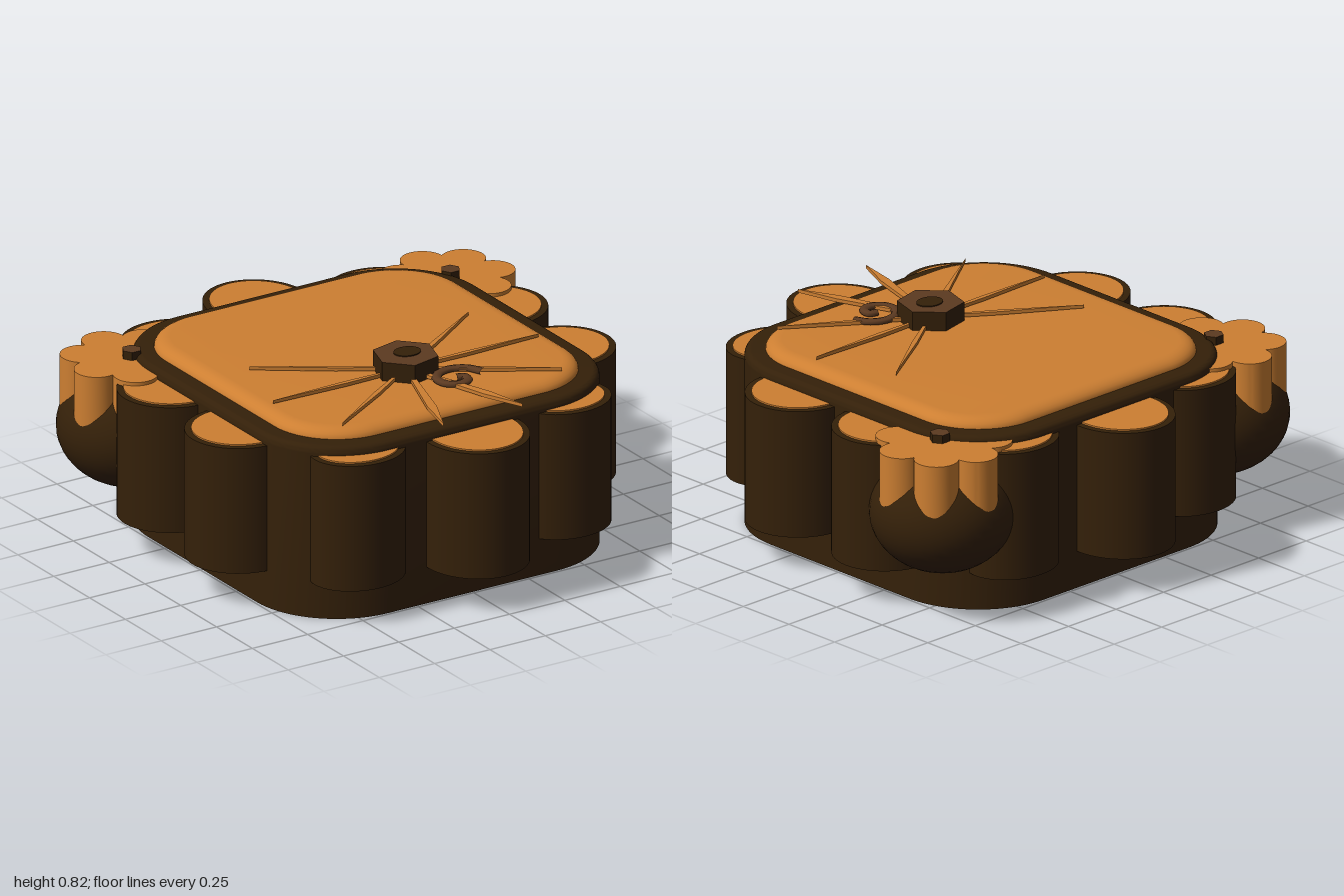
import * as THREE from 'three';
import { toCreasedNormals } from 'three/addons/utils/BufferGeometryUtils.js';

const orange = new THREE.MeshStandardMaterial({ name: 'bronze orange', color: 0xcd7f32 });
const dark = new THREE.MeshStandardMaterial({ name: 'dark brown', color: 0x342009 });
const brown = new THREE.MeshStandardMaterial({ name: 'mid brown', color: 0x5c3a21 });

function addMesh(parent, name, geometry, material, x = 0, y = 0, z = 0) {
  const mesh = new THREE.Mesh(geometry, material);
  mesh.name = name;
  mesh.position.set(x, y, z);
  parent.add(mesh);
  return mesh;
}

// Rounded square lying flat, half width h, rising from y0 to y1 with a rounded upper edge
function roundedSlab(h, r, y0, y1, bevel, bevelHeight) {
  const q = r - bevel, c = h - r;
  const s = new THREE.Shape();
  s.absarc(c, c, q, 0, Math.PI / 2);
  s.absarc(-c, c, q, Math.PI / 2, Math.PI);
  s.absarc(-c, -c, q, Math.PI, Math.PI * 1.5);
  s.absarc(c, -c, q, Math.PI * 1.5, Math.PI * 2);
  s.closePath();
  const g = new THREE.ExtrudeGeometry(s, {
    depth: y1 - y0 - 2 * bevelHeight, bevelThickness: bevelHeight, bevelSize: bevel, bevelSegments: 6, curveSegments: 16,
  });
  g.rotateX(-Math.PI / 2);
  g.translate(0, y0 + bevelHeight, 0);
  // Flatten the lower bevel so the wall drops straight to the floor
  const p = g.attributes.position;
  for (let i = 0; i < p.count; i++) {
    if (p.getY(i) < y0 + bevelHeight + 1e-4) p.setY(i, y0);
  }
  return toCreasedNormals(g, 0.7);
}

// Seven-lobed flower outline, extruded upwards
function flowerGeometry(height) {
  const s = new THREE.Shape();
  const ring = 0.18, lobe = 0.086, n = 7;
  const span = Math.PI / 2 + Math.PI / n;
  for (let i = 0; i < n; i++) {
    const a = Math.PI / 2 + (i * 2 * Math.PI) / n;
    s.absarc(ring * Math.cos(a), ring * Math.sin(a), lobe, a - span, a + span);
  }
  s.closePath();
  const g = new THREE.ExtrudeGeometry(s, { depth: height, bevelEnabled: false, curveSegments: 16 });
  g.rotateX(-Math.PI / 2);
  return toCreasedNormals(g, 0.6);
}

// Hexagonal block with flat sides
function hexGeometry(radius, height, turn) {
  const g = new THREE.CylinderGeometry(radius, radius, height, 6).toNonIndexed();
  g.computeVertexNormals();
  return g.rotateY(turn);
}

// Flat pointed blade along +x, widest at the fraction peak of its length
function bladeGeometry(length, halfWidth, peak) {
  const s = new THREE.Shape();
  s.moveTo(0, -halfWidth * 0.4);
  s.lineTo(length * peak, -halfWidth);
  s.lineTo(length, 0);
  s.lineTo(length * peak, halfWidth);
  s.lineTo(0, halfWidth * 0.4);
  s.closePath();
  return new THREE.ExtrudeGeometry(s, { depth: 0.014, bevelEnabled: false }).rotateX(-Math.PI / 2);
}

export function createModel() {
  const model = new THREE.Group();
  model.name = 'scallopedCushion';

  // Main body and its softly domed top
  addMesh(model, 'body', roundedSlab(0.74, 0.36, 0, 0.705, 0.025, 0.03), dark);
  addMesh(model, 'topPanel', roundedSlab(0.66, 0.28, 0.6, 0.743, 0.06, 0.04), orange);

  // Oval scallops about the body: x, z, half width, half depth
  const scallops = [[0, 0.752, 0.207, 0.228], [0, -0.752, 0.207, 0.228]];
  for (const sx of [-1, 1]) {
    for (const sz of [-1, 1]) {
      scallops.push([sx * 0.72, sz * 0.237, 0.218, 0.207], [sx * 0.465, sz * 0.655, 0.192, 0.163]);
    }
  }
  const rim = 0.026;
  for (const [x, z, rx, rz] of scallops) {
    const wall = new THREE.CylinderGeometry(1, 1, 0.515, 48);
    addMesh(model, 'scallop', wall.scale(rx, 1, rz), dark, x, 0.4075, z);
    const disc = new THREE.CylinderGeometry(1, 1, 0.008, 48);
    addMesh(model, 'scallopTop', disc.scale(rx - rim, 1, rz - rim), orange, x, 0.667, z);
  }

  // Back corner buds: round cup, flower and small hexagonal stud
  for (const side of [-1, 1]) {
    const bud = new THREE.Group();
    bud.name = side > 0 ? 'leftBud' : 'rightBud';
    bud.position.set(side * 0.72, 0, -0.54);
    model.add(bud);
    addMesh(bud, 'cup', new THREE.SphereGeometry(0.28, 40, 24), dark, 0, 0.405, 0).scale.y = 0.235 / 0.28;
    addMesh(bud, 'flower', flowerGeometry(0.265), orange, 0, 0.42, 0);
    addMesh(bud, 'stud', hexGeometry(0.039, 0.037, Math.PI / 2), [dark, brown, dark], 0, 0.6995, 0.015);
  }

  // Hexagonal knob with a dark oval on top
  const knob = new THREE.Group();
  knob.name = 'knob';
  knob.position.set(0, 0, 0.275);
  model.add(knob);
  addMesh(knob, 'hexKnob', hexGeometry(0.128, 0.08, Math.PI / 2 + 0.23), [dark, brown, dark], 0, 0.779, 0);
  addMesh(knob, 'knobOval', new THREE.CylinderGeometry(0.055, 0.055, 0.008, 32), dark, 0.01, 0.819, -0.005).scale.z = 0.82;

  // Flat blades radiating from the knob: tip x, tip z, half width, widest fraction
  const blades = [
    [0.6, 0, 0.01, 0.45], [0.495, -0.325, 0.01, 0.45], [0.495, 0.325, 0.01, 0.45], [0.178, 0.54, 0.018, 0.7],
  ];
  for (const side of [-1, 1]) {
    for (const [tx, tz, halfWidth, peak] of blades) {
      const blade = bladeGeometry(Math.hypot(tx, tz), halfWidth, peak);
      addMesh(knob, 'blade', blade, orange, 0, 0.747, 0).rotation.y = Math.atan2(-tz, side * tx);
    }
  }

  // Flat curled tendril in front of the knob
  const curl = [
    [0.23, 0.455], [0.2, 0.398], [0.145, 0.37], [0.08, 0.382], [0.042, 0.432], [0.05, 0.485],
    [0.095, 0.512], [0.138, 0.496], [0.144, 0.46], [0.115, 0.45],
  ].map(([x, z]) => new THREE.Vector3(x, 0, z));
  const tube = new THREE.TubeGeometry(new THREE.CatmullRomCurve3(curl), 60, 0.02, 8);
  addMesh(model, 'tendril', tube, brown, 0, 0.755, 0).scale.y = 0.6;

  return model;
}
